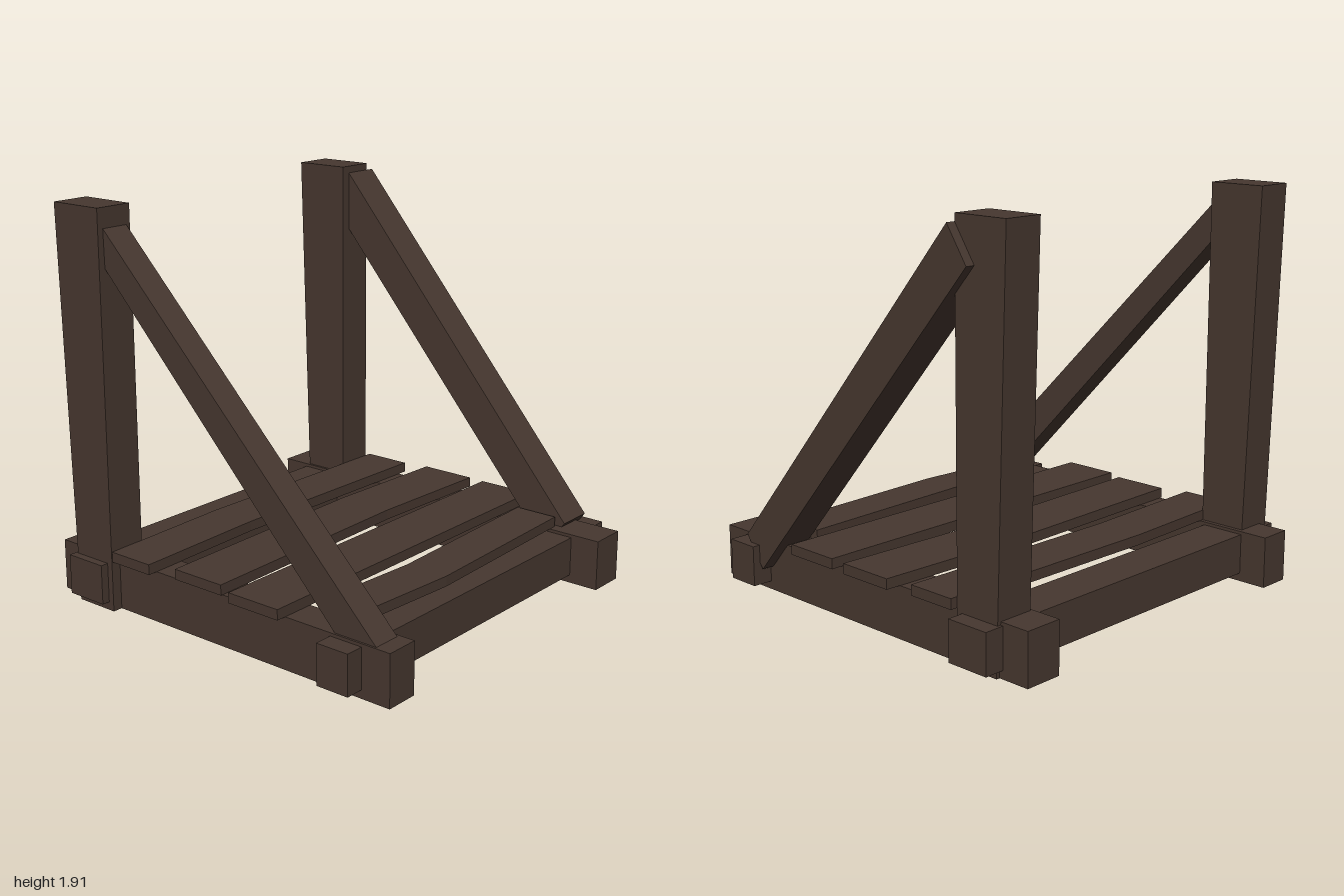
import * as THREE from 'three';

const wood = new THREE.MeshStandardMaterial({ color: 0x46372f });
wood.name = 'darkWood';

export function createModel() {
  const group = new THREE.Group();
  group.name = 'timberPlatform';

  function add(name, geometry) {
    const mesh = new THREE.Mesh(geometry, wood);
    mesh.name = name;
    group.add(mesh);
    return mesh;
  }

  // Axis-aligned timber given by its limits, with an optional rule to bend its corners
  function timber(name, [x0, x1], [y0, y1], [z0, z1], rule) {
    const g = new THREE.BoxGeometry(x1 - x0, y1 - y0, z1 - z0);
    g.translate((x0 + x1) / 2, (y0 + y1) / 2, (z0 + z1) / 2);
    return add(name, rule ? reshape(g, rule) : g);
  }

  function reshape(g, rule) {
    const p = g.attributes.position;
    const v = new THREE.Vector3();
    for (let i = 0; i < p.count; i++) {
      rule(v.fromBufferAttribute(p, i));
      p.setXYZ(i, v.x, v.y, v.z);
    }
    g.computeVertexNormals();
    return g;
  }

  // Base frame
  timber('rightSideBeam', [-0.91, -0.745], [0, 0.25], [-1, 1]);
  timber('leftSideBeam', [0.71, 0.9], [0, 0.25], [-1, 1]);
  timber('frontCrossBeam', [-1, 1], [0.04, 0.235], [0.68, 0.85]);
  timber('backCrossBeam', [-1, 1], [0.04, 0.235], [-0.86, -0.64]);

  // Posts, widening backwards towards the top
  const widen = v => { if (v.z < -0.7) v.z = -0.84 - 0.055 * v.y / 1.91; };
  timber('rightPost', [-0.96, -0.768], [0, 1.91], [-0.9, -0.61], widen);
  timber('leftPost', [0.723, 0.918], [0, 1.91], [-0.9, -0.61], widen);

  // Diagonal braces: side outline as [z, y], extruded across x
  function brace(name, outline, x0, x1, lean = 0) {
    const shape = new THREE.Shape(outline.map(([z, y]) => new THREE.Vector2(-z, y)));
    const g = new THREE.ExtrudeGeometry(shape, { depth: x1 - x0, bevelEnabled: false });
    g.rotateY(Math.PI / 2);
    g.translate(x0, 0, 0);
    add(name, reshape(g, v => { v.x += lean * (v.y - 0.25); }));
  }
  brace('leftBrace', [[0.77, 0.27], [0.66, 0.12], [-0.72, 1.71], [-0.61, 1.875]], 0.772, 0.963);
  brace('rightBrace', [[0.92, 0.25], [0.81, 0.13], [-0.71, 1.74], [-0.61, 1.815]], -0.9, -0.76, -0.019);

  // Deck planks; some bow at one point along their length
  function plank(name, x0, x1, z0, z1, bendX = 0, bend = 0) {
    const s = new THREE.Shape();
    s.moveTo(x0, -z1);
    s.lineTo(bendX, -z1 - bend);
    s.lineTo(x1, -z1);
    s.lineTo(x1, -z0);
    s.lineTo(bendX, -z0 - bend);
    s.lineTo(x0, -z0);
    const g = new THREE.ExtrudeGeometry(s, { depth: 0.05, bevelEnabled: false });
    g.rotateX(-Math.PI / 2);
    g.translate(0, 0.25, 0);
    add(name, g);
  }
  plank('backPlank', -0.96, 0.95, -0.605, -0.36, -0.25, -0.027);
  plank('middlePlank', -0.92, 0.975, -0.232, 0.056, 0.3, -0.028);
  plank('straightPlank', -0.96, 0.97, 0.14, 0.428);
  plank('frontPlank', -0.73, 0.755, 0.505, 0.725, -0.2, 0.037);

  return group;
}
